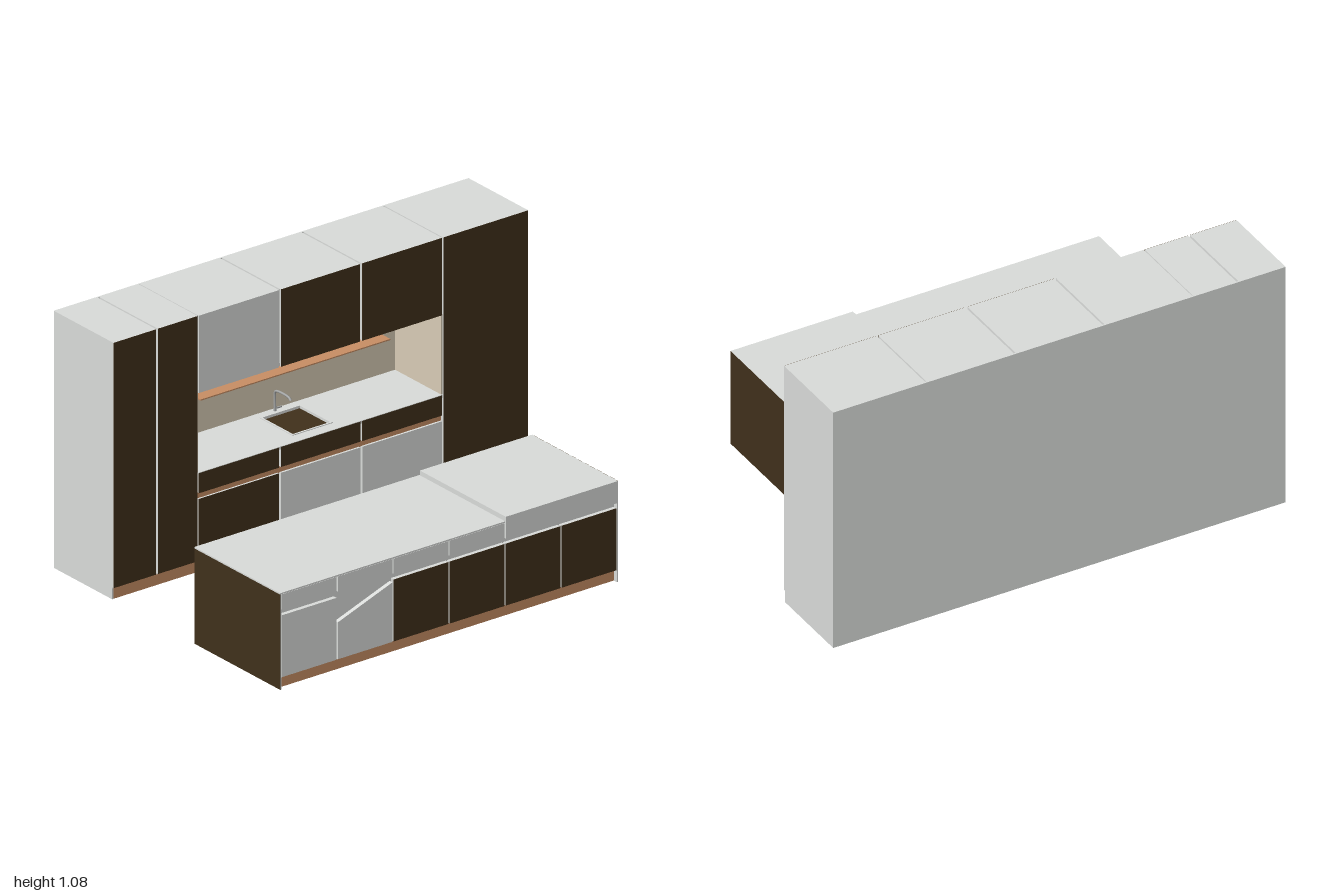
import * as THREE from 'three';

const mat = (name, color) => {
  const m = new THREE.MeshStandardMaterial({ color });
  m.name = name;
  return m;
};

export function createModel() {
  const grey = mat('lightGrey', 0xdadcda);
  const dark = mat('darkWood', 0x40301b);
  const orange = mat('warmWood', 0xc88e64);
  const beige = mat('beigeStone', 0xd8ccb6);
  const steel = mat('steel', 0xa2a4a4);

  const kitchen = new THREE.Group();
  kitchen.name = 'kitchen';
  const wall = new THREE.Group();
  wall.name = 'wallUnits';
  const island = new THREE.Group();
  island.name = 'island';
  kitchen.add(wall, island);

  // Box given by its limits on each axis
  const box = (parent, name, m, x0, x1, y0, y1, z0, z1) => {
    const mesh = new THREE.Mesh(new THREE.BoxGeometry(x1 - x0, y1 - y0, z1 - z0), m);
    mesh.position.set((x0 + x1) / 2, (y0 + y1) / 2, (z0 + z1) / 2);
    mesh.name = name;
    parent.add(mesh);
  };

  // Grey board with a thin coloured face towards +z
  const fronted = (parent, name, m, x0, x1, y0, y1, z0, z1) => {
    box(parent, name, grey, x0, x1, y0, y1, z0, z1 - 0.001);
    box(parent, name + 'Face', m, x0, x1, y0, y1, z1 - 0.001, z1);
  };

  // ---- Wall units ----
  const back = -0.71, face = -0.342, front = -0.335, top = 1.08;
  box(wall, 'backPanel', grey, -1, 1, 0, top, back, -0.703);
  fronted(wall, 'wallPlinth', orange, -0.994, 0.994, 0, 0.048, -0.703, -0.345);
  for (const s of [-1, 1])
    box(wall, 'plinthEnd', grey, s < 0 ? -1 : 0.994, s < 0 ? -0.994 : 1, 0, 0.05, -0.703, -0.344);

  // Full-height cabinets
  for (const [a, b] of [[-1, -0.794], [-0.786, -0.594], [0.59, 1]]) {
    box(wall, 'tallCabinet', grey, a, b, 0.046, top, -0.703, face);
    fronted(wall, 'tallDoor', dark, a + 0.001, b - 0.001, 0.05, top, face, front);
  }

  // Upper cabinets
  const bays = [[-0.59, -0.202], [-0.194, 0.19], [0.198, 0.584]];
  bays.forEach(([a, b], i) => {
    box(wall, 'upperCabinet', grey, a, b, 0.757, top, -0.703, face);
    fronted(wall, 'upperDoor', i ? dark : grey, a + 0.001, b - 0.001, 0.755, top, face, front);
  });
  box(wall, 'cabinetFiller', grey, -0.202, -0.194, 0.757, 0.77, -0.703, face);

  // Base cabinets with drawers, a handle groove and doors
  box(wall, 'baseCarcass', grey, -0.59, 0.586, 0.046, 0.325, -0.703, -0.355);
  fronted(wall, 'handleGroove', orange, -0.59, 0.586, 0.308, 0.336, -0.355, -0.344);
  bays.forEach(([a, b], i) => {
    fronted(wall, 'baseDrawer', dark, a + 0.001, b, 0.334, 0.418, -0.354, front);
    fronted(wall, 'baseDoor', i ? grey : dark, a + 0.001, b, 0.05, 0.31, -0.354, front);
  });

  // Niche lining
  box(wall, 'backsplash', beige, -0.59, 0.586, 0.42, 0.757, -0.7, -0.63);
  box(wall, 'nicheSideRight', beige, -0.594, -0.588, 0.42, 0.757, -0.64, -0.342);
  box(wall, 'nicheSideLeft', beige, 0.584, 0.59, 0.42, 0.757, -0.64, -0.342);

  // Worktop with a cut-out for the sink
  const rect = (T, x0, x1, z0, z1) => {
    const p = new T();
    p.moveTo(x0, -z1);
    p.lineTo(x1, -z1);
    p.lineTo(x1, -z0);
    p.lineTo(x0, -z0);
    p.closePath();
    return p;
  };
  const topShape = rect(THREE.Shape, -0.59, 0.586, -0.64, front - 0.001);
  topShape.holes.push(rect(THREE.Path, -0.09, 0.09, -0.585, -0.395));
  const worktop = new THREE.Mesh(
    new THREE.ExtrudeGeometry(topShape, { depth: 0.012, bevelEnabled: false }), grey);
  worktop.rotation.x = -Math.PI / 2;
  worktop.position.y = 0.408;
  worktop.name = 'worktop';
  wall.add(worktop);

  // Shallow sink with a slim rim
  box(wall, 'sinkFloor', dark, -0.09, 0.09, 0.404, 0.412, -0.585, -0.395);
  for (const s of [-1, 1]) {
    box(wall, 'sinkRim', grey, s * 0.094 - 0.004, s * 0.094 + 0.004, 0.418, 0.423, -0.593, -0.387);
    box(wall, 'sinkRimEnd', grey, -0.09, 0.09, 0.418, 0.423, -0.494 + s * 0.099, -0.486 + s * 0.099);
  }

  // Tap
  const tapPath = new THREE.CatmullRomCurve3([
    [0.42, -0.61], [0.498, -0.61], [0.506, -0.602], [0.506, -0.52], [0.497, -0.512],
  ].map(([y, z]) => new THREE.Vector3(-0.01, y, z)));
  const tap = new THREE.Mesh(new THREE.TubeGeometry(tapPath, 24, 0.005, 10), steel);
  tap.name = 'tap';
  wall.add(tap);
  box(wall, 'tapLever', steel, -0.004, 0.022, 0.428, 0.433, -0.613, -0.607);

  // Thin shelf with rails set back beneath it
  box(wall, 'shelf', orange, -0.46, 0.455, 0.63, 0.635, -0.63, -0.492);
  box(wall, 'shelfRailRight', grey, -0.46, -0.003, 0.614, 0.63, -0.628, -0.61);
  box(wall, 'shelfRailLeft', dark, -0.003, 0.455, 0.614, 0.621, -0.628, -0.61);

  // ---- Island ----
  const ix0 = -1, ix1 = 0.63, iz0 = 0.17, iz1 = 0.708, split = 0.088;
  box(island, 'islandCarcass', grey, ix0 + 0.006, ix1 - 0.002, 0.046, 0.4, iz0 + 0.02, iz1 - 0.02);
  fronted(island, 'islandPlinth', orange, ix0 + 0.006, ix1 - 0.002, 0, 0.046, iz0 + 0.045, iz1 - 0.02);
  box(island, 'lowTop', grey, ix0, split - 0.003, 0.4, 0.406, iz0, iz1);
  box(island, 'highTop', grey, split, ix1 - 0.001, 0.332, 0.424, iz0, iz1);
  box(island, 'endPanelLeft', grey, ix1 - 0.006, ix1 - 0.001, 0, 0.332, iz0, iz1);
  box(island, 'endPanelLeftFace', dark, ix1 - 0.001, ix1, 0, 0.424, iz0, iz1);
  box(island, 'endPanelRight', grey, ix0 + 0.001, ix0 + 0.006, 0, 0.4, iz0, iz1);
  box(island, 'endPanelRightFace', dark, ix0, ix0 + 0.001, 0, 0.4, iz0, iz1);

  // Six bays on both long sides
  const pitch = 0.27;
  for (let i = 0; i < 6; i++) {
    const a = -0.991 + i * pitch, b = a + pitch - 0.006;
    if (i < 4) {
      box(island, 'frontDrawer', grey, a, b, 0.334, 0.398, iz1 - 0.02, iz1 - 0.002);
      box(island, 'backDrawer', grey, a, b, 0.334, 0.398, iz0 + 0.002, iz0 + 0.02);
    }
    box(island, 'backDoor', grey, a, b, 0.05, 0.31, iz0 + 0.002, iz0 + 0.02);
    if (i === 1) {
      // Partly open front with a sloping upper edge
      const s = new THREE.Shape();
      s.moveTo(a, 0.05);
      s.lineTo(b, 0.05);
      s.lineTo(b, 0.3);
      s.lineTo(a, 0.205);
      s.closePath();
      const door = new THREE.Mesh(
        new THREE.ExtrudeGeometry(s, { depth: 0.018, bevelEnabled: false }), grey);
      door.position.z = iz1 - 0.02;
      door.name = 'slopedDoor';
      island.add(door);
    } else {
      fronted(island, 'frontDoor', i ? dark : grey, a, b, 0.05, 0.31, iz1 - 0.02, iz1 - 0.002);
    }
  }
  return kitchen;
}
